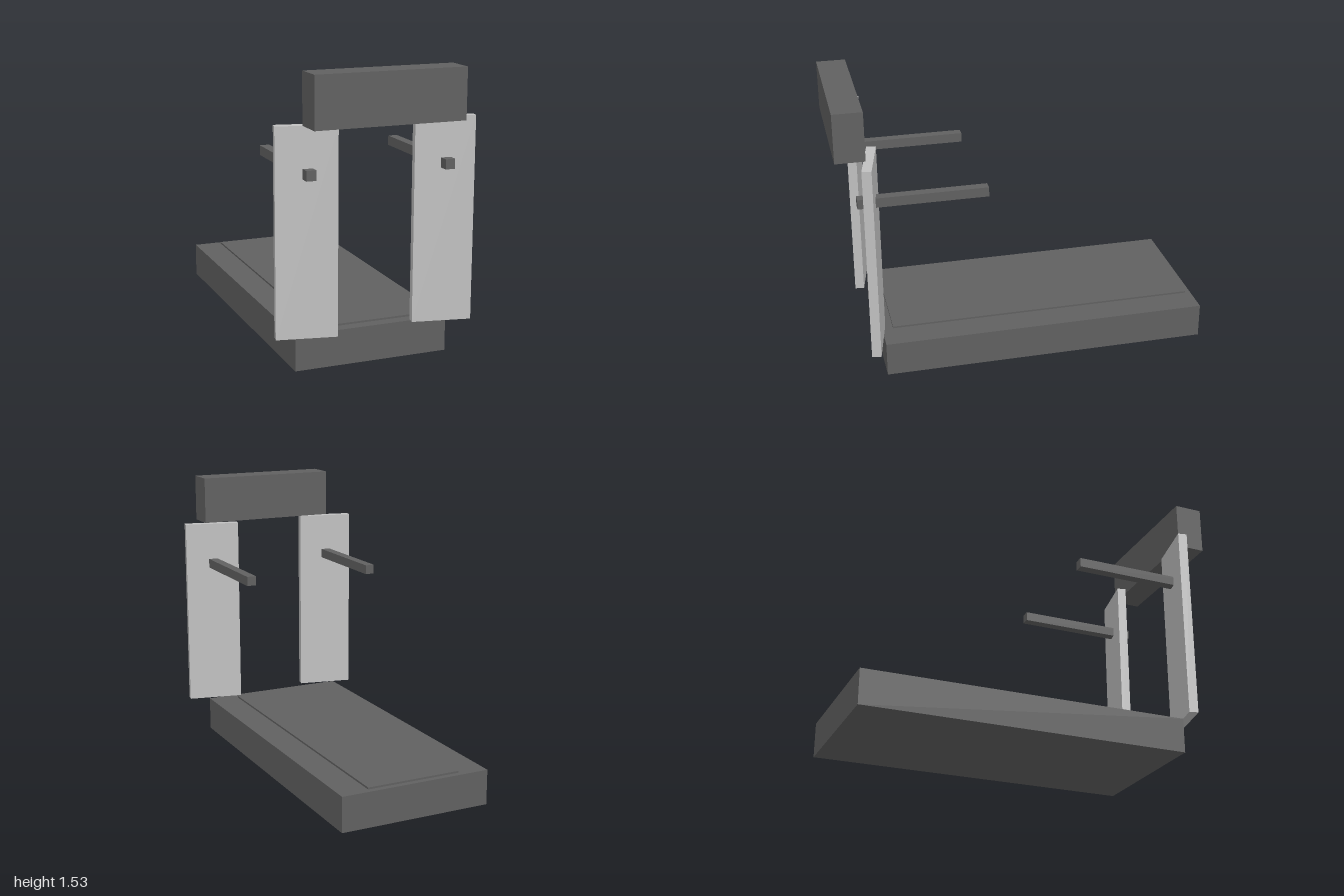
import * as THREE from 'three';

export function createModel() {
  const group = new THREE.Group();
  const darkGrey = new THREE.MeshStandardMaterial({ color: 0x606060 });
  darkGrey.name = 'dark grey';
  const lightGrey = new THREE.MeshStandardMaterial({ color: 0xc0c0c0 });
  lightGrey.name = 'light grey';

  // Box given by its size and centre
  const box = (name, material, size, centre) => {
    const mesh = new THREE.Mesh(new THREE.BoxGeometry(...size), material);
    mesh.name = name;
    mesh.position.set(...centre);
    group.add(mesh);
    return mesh;
  };

  // Deck with the slightly raised running belt
  box('base', darkGrey, [0.84, 0.19, 1.79], [0, 0.095, -0.105]);
  box('runningBelt', darkGrey, [0.525, 0.02, 1.7], [-0.002, 0.19, -0.12]);

  // Console across the top
  box('console', darkGrey, [0.8, 0.265, 0.157], [0, 1.3975, 0.9215]);

  // Uprights, both turned the same way, with a handrail through each
  for (const [side, s] of [['right', -1], ['left', 1]]) {
    const upright = box(side + 'Upright', lightGrey, [0.313, 1.075, 0.05], [s * 0.373 - 0.002, 0.19 + 1.075 / 2, 0.824]);
    upright.rotation.y = -0.2;
    box(side + 'Handrail', darkGrey, [0.052, 0.052, 0.685], [s * 0.373 - 0.001, 1.028, 0.555]);
  }

  return group;
}
